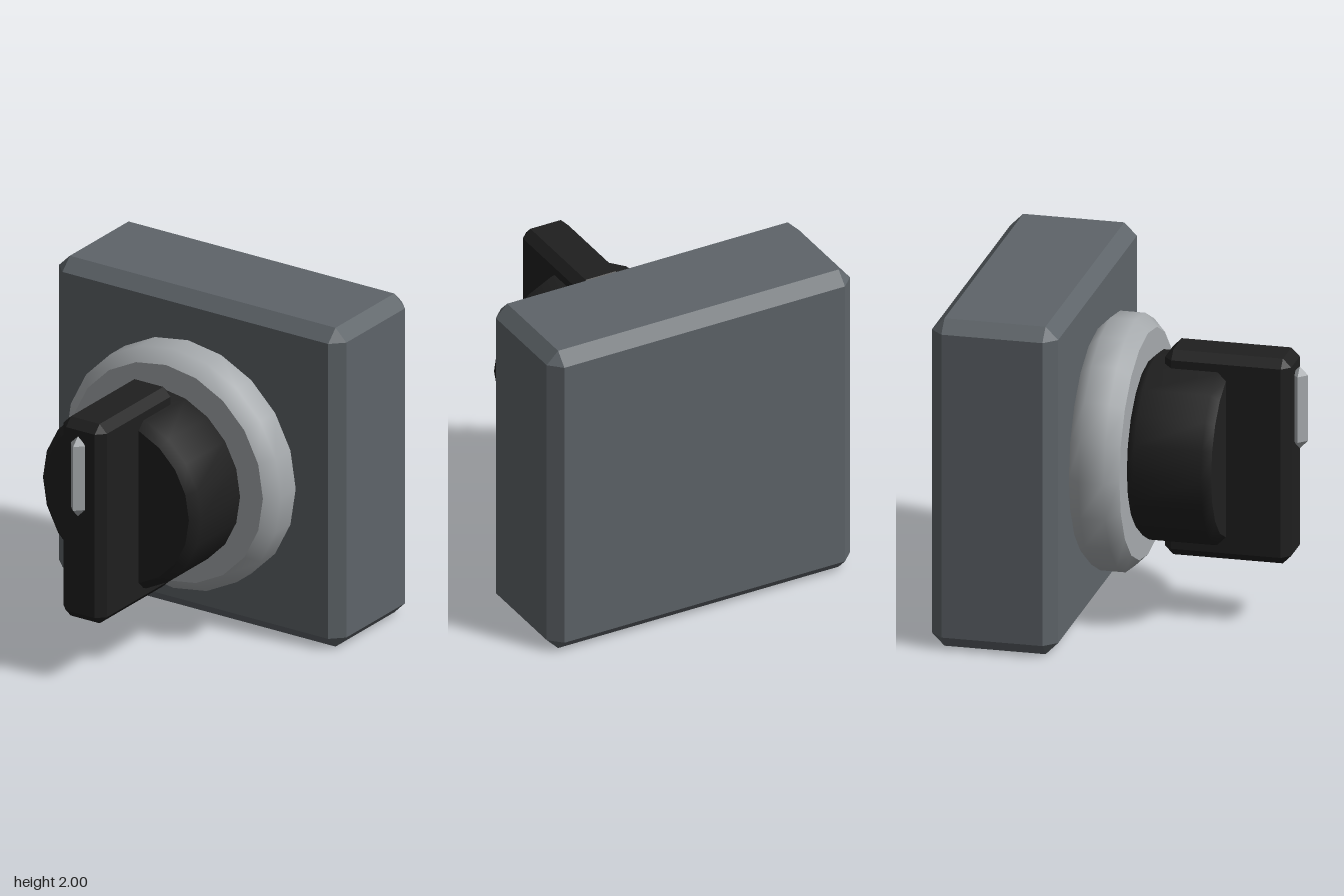
import * as THREE from 'three';
import { mergeGeometries } from 'three/addons/utils/BufferGeometryUtils.js';
import { ConvexGeometry } from 'three/addons/geometries/ConvexGeometry.js';

const SIDES = 20;

// Box with every edge cut at 45 degrees by c
function chamferBox(w, h, d, c) {
  const points = [];
  for (const sx of [-1, 1]) for (const sy of [-1, 1]) for (const sz of [-1, 1]) {
    const x = w / 2, y = h / 2, z = d / 2;
    points.push(
      new THREE.Vector3(sx * x, sy * (y - c), sz * (z - c)),
      new THREE.Vector3(sx * (x - c), sy * y, sz * (z - c)),
      new THREE.Vector3(sx * (x - c), sy * (y - c), sz * z));
  }
  return new ConvexGeometry(points);
}

// Disc along z with a smooth chamfered rim and flat end faces
function chamferDisc(r, depth, c) {
  const h = depth / 2;
  const profile = [[r - c, -h], [r, c - h], [r, h - c], [r - c, h]];
  const rim = new THREE.LatheGeometry(profile.map(p => new THREE.Vector2(...p)), SIDES).rotateX(Math.PI / 2);
  const front = new THREE.CircleGeometry(r - c, SIDES).translate(0, 0, h);
  const back = new THREE.CircleGeometry(r - c, SIDES).rotateY(Math.PI).translate(0, 0, -h);
  return mergeGeometries([rim, front, back]);
}

// Diamond-section bar with pointed ends, upright
function pointedBar(r, length) {
  const h = length / 2;
  const profile = [[0, -h], [r, r - h], [r, h - r], [0, h]];
  const g = new THREE.LatheGeometry(profile.map(p => new THREE.Vector2(...p)), 4).toNonIndexed();
  g.computeVertexNormals();
  return g;
}

function material(name, color) {
  const m = new THREE.MeshStandardMaterial({ color });
  m.name = name;
  return m;
}

export function createModel() {
  const group = new THREE.Group();
  group.name = 'rotarySwitch';
  const housingGrey = material('housingGrey', 0x5e6469);
  const lightGrey = material('lightGrey', 0xa6aaad);
  const black = material('black', 0x1f1f1f);

  const add = (name, geometry, mat, y, z) => {
    const mesh = new THREE.Mesh(geometry, mat);
    mesh.name = name;
    mesh.position.set(0, y, z);
    group.add(mesh);
  };

  add('housing', chamferBox(2, 2, 0.75, 0.075), housingGrey, 1, -0.625);
  add('collarRing', chamferDisc(0.75, 0.3, 0.075), lightGrey, 1, -0.1);
  add('knob', chamferDisc(0.55, 0.5, 0.05), black, 1, 0.3);
  add('handle', chamferBox(0.3, 1.25, 0.75, 0.05), black, 1, 0.55);
  add('pointerMark', pointedBar(0.05, 0.5), lightGrey, 1.3, 0.95);
  return group;
}
